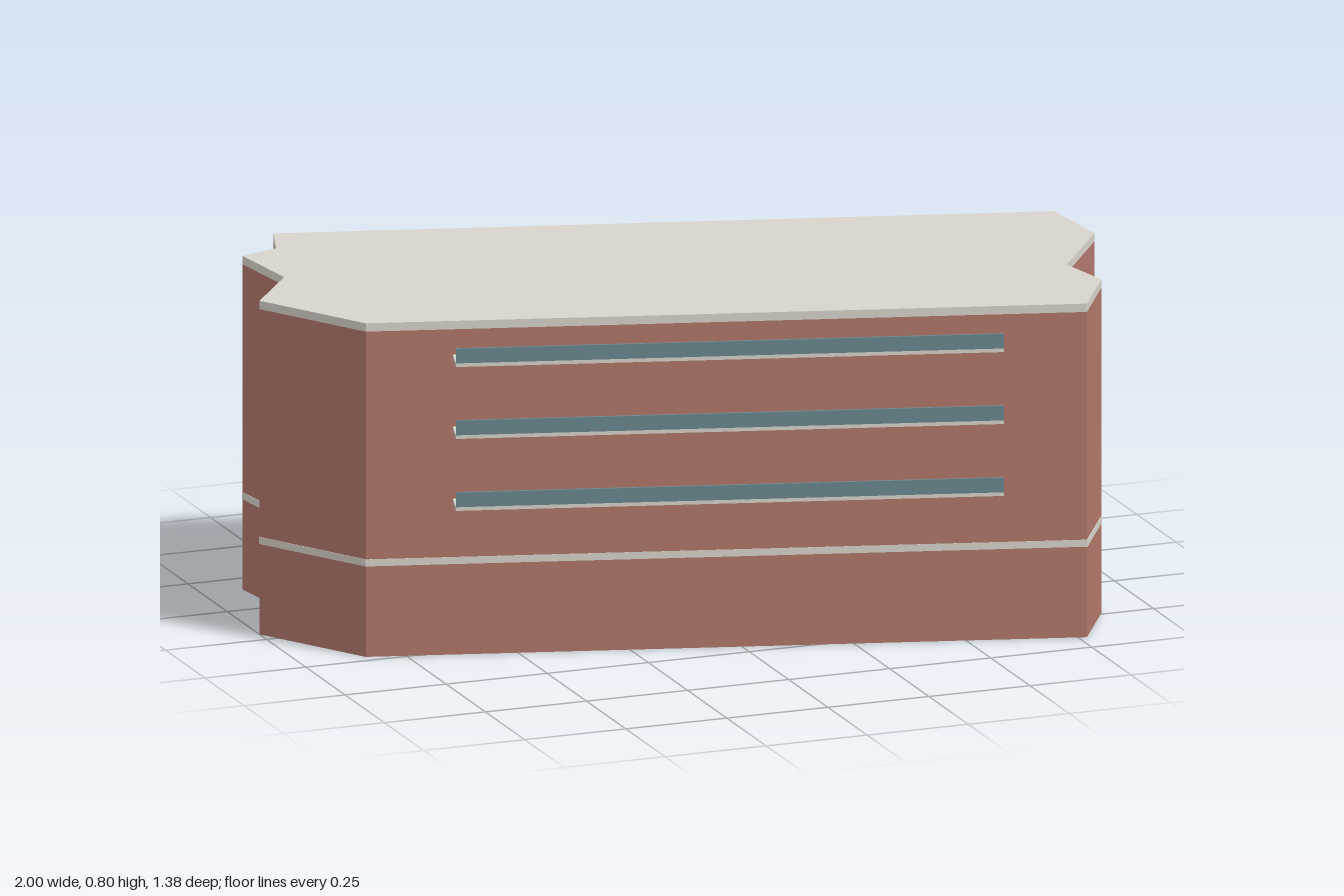
import * as THREE from 'three';

const brick = new THREE.MeshStandardMaterial({ color: 0xb1776a });
const stone = new THREE.MeshStandardMaterial({ color: 0xd8d4cc });
const glass = new THREE.MeshStandardMaterial({ color: 0x6a8790 });
const green = new THREE.MeshStandardMaterial({ color: 0x80a080 });

// Floor plan as [x, z] corners
const plan = [
  [-0.765, -0.56], [0.98, -0.083], [1, 0.123], [0.845, 0.347], [0.875, 0.49], [0.77, 0.668],
  [-0.84, 0.22], [-1, -0.045], [-0.875, -0.21], [-0.9, -0.41], [-0.805, -0.442],
];

// Slice of the building between two heights
function slice(name, y0, y1, material, scale = 1) {
  const shape = new THREE.Shape(plan.map(([x, z]) => new THREE.Vector2(x * scale, -z * scale)));
  const geometry = new THREE.ExtrudeGeometry(shape, { depth: y1 - y0, bevelEnabled: false });
  geometry.rotateX(-Math.PI / 2);
  const mesh = new THREE.Mesh(geometry, material);
  mesh.position.y = y0;
  mesh.name = name;
  return mesh;
}

// Box given by its extents on each axis
function box(name, [x0, x1], [y0, y1], [z0, z1], material) {
  const mesh = new THREE.Mesh(new THREE.BoxGeometry(x1 - x0, y1 - y0, z1 - z0), material);
  mesh.position.set((x0 + x1) / 2, (y0 + y1) / 2, (z0 + z1) / 2);
  mesh.name = name;
  return mesh;
}

export function createModel() {
  const model = new THREE.Group();
  model.name = 'building';

  // Walls, string course and roof
  model.add(
    slice('walls', 0, 0.78, brick),
    slice('stringCourse', 0.217, 0.234, stone, 1.0015),
    slice('roof', 0.78, 0.8, stone),
  );

  // Balconies along the slanted front wall: open slab with a thin parapet
  for (let i = 0; i < 3; i++) {
    const balcony = new THREE.Group();
    balcony.name = 'balcony';
    balcony.add(
      box('balconySlab', [-0.635, 0.635], [0, 0.009], [-0.01, 0.074], stone),
      box('balconyParapet', [-0.635, 0.635], [0.009, 0.044], [0.069, 0.075], glass),
    );
    balcony.position.set(-0.0335, 0.365 + i * 0.1725, 0.443);
    balcony.rotation.y = -Math.atan2(0.448, 1.61);
    model.add(balcony);
  }

  // Tall stair window on the right side, with its stone jamb and glazing bars
  const stairWindow = new THREE.Group();
  stairWindow.name = 'stairWindow';
  stairWindow.add(
    box('stairGlass', [0.94, 0.973], [0.218, 0.69], [0.168, 0.186], green),
    box('stairJamb', [0.94, 0.977], [0.234, 0.69], [0.157, 0.165], stone),
  );
  for (const y of [0.26, 0.39, 0.52, 0.65]) {
    stairWindow.add(box('glazingBar', [0.94, 0.976], [y - 0.002, y + 0.002], [0.167, 0.188], glass));
  }
  model.add(stairWindow);

  // Rear entrance: glazed lobby, slim posts and canopy
  const entrance = new THREE.Group();
  entrance.name = 'entrance';
  entrance.add(
    box('lobby', [-0.303, 0.303], [0, 0.241], [-0.604, -0.529], glass),
    box('canopy', [-0.357, 0.357], [0.251, 0.267], [-0.693, -0.556], stone),
  );
  for (let i = -2; i <= 2; i++) {
    const x = i * 0.121;
    entrance.add(box('post', [x - 0.004, x + 0.004], [0, 0.241], [-0.616, -0.609], glass));
  }
  model.add(entrance);

  return model;
}
